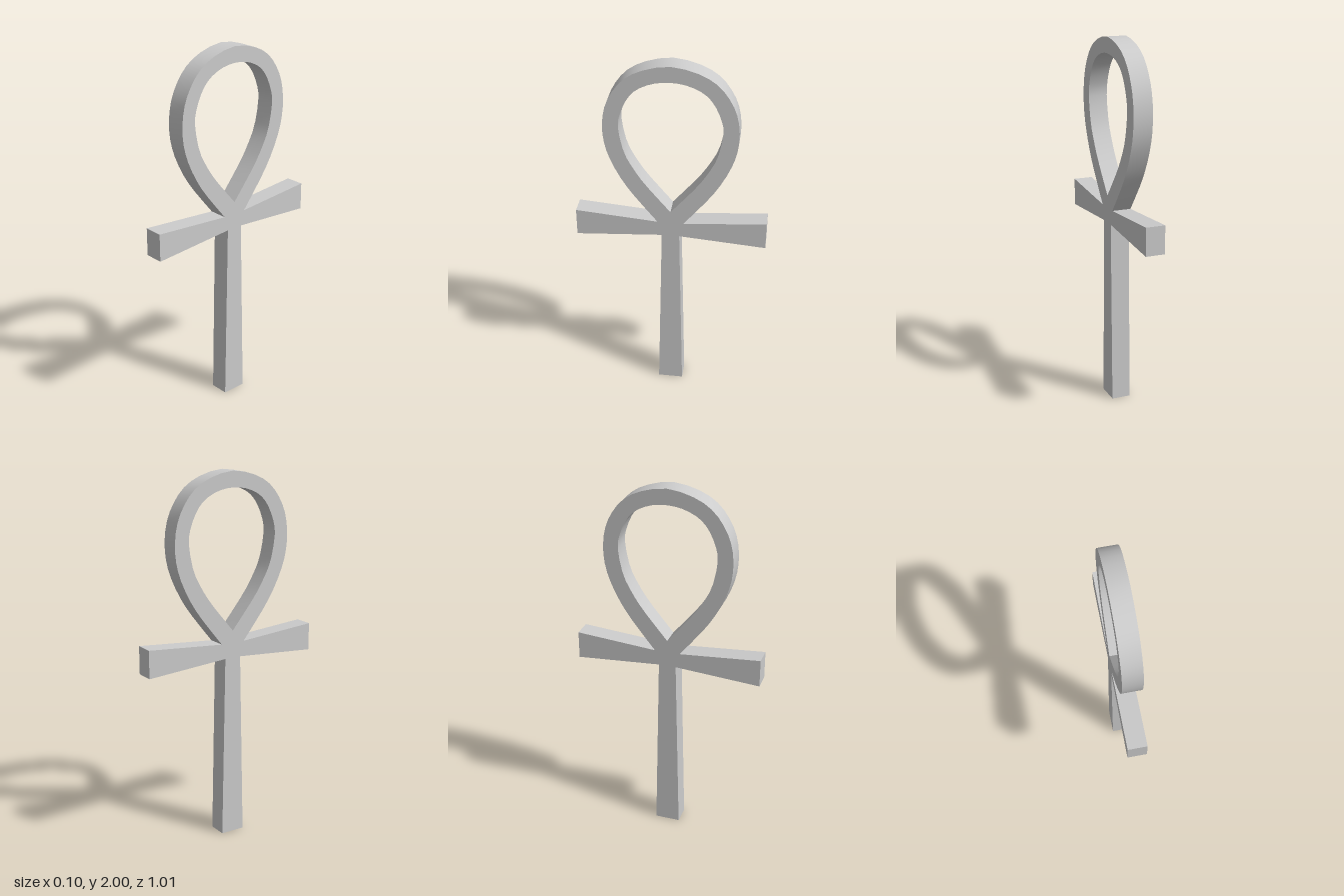
import * as THREE from 'three';
import { toCreasedNormals } from 'three/addons/utils/BufferGeometryUtils.js';

const THICKNESS = 0.104;
const vectors = (pairs) => pairs.map(([s, y]) => new THREE.Vector2(s, y));

// Mirrors one side of the loop (ending at the apex) and samples it as a smooth curve.
function loopCurve(half, segments) {
  const other = half.slice(0, -1).reverse().map(([s, y]) => [-s, y]);
  return new THREE.SplineCurve(vectors([...half, ...other])).getPoints(segments);
}

export function createModel() {
  const group = new THREE.Group();
  group.name = 'loopedCross';

  // Outer and inner edges of the teardrop loop, from the neck up to the apex
  const outerLoop = loopCurve([
    [0.069, 1.095], [0.19, 1.247], [0.26, 1.353], [0.313, 1.464], [0.34, 1.56],
    [0.346, 1.66], [0.33, 1.76], [0.29, 1.846], [0.228, 1.92], [0.135, 1.972], [0, 2],
  ], 40);
  const innerLoop = loopCurve([
    [0, 1.162], [0.127, 1.316], [0.19, 1.41], [0.239, 1.51], [0.265, 1.645],
    [0.255, 1.724], [0.217, 1.81], [0.165, 1.867], [0.085, 1.904], [0, 1.915],
  ], 40);
  innerLoop.pop(); // the curve ends where it starts

  // Flared stem and arms joined to the loop in one outline
  const rightSide = [[0.068, 0], [0.047, 1.012], [0.507, 0.979], [0.507, 1.13]];
  const leftSide = rightSide.map(([s, y]) => [-s, y]).reverse();
  const outline = new THREE.Shape([...vectors(rightSide), ...outerLoop, ...vectors(leftSide)]);
  outline.holes.push(new THREE.Path(innerLoop));

  // Extrude, centre the thickness and turn the outline into the side plane
  const slab = new THREE.ExtrudeGeometry(outline, { depth: THICKNESS, bevelEnabled: false });
  slab.translate(0, 0, -THICKNESS / 2).rotateY(-Math.PI / 2);

  const cross = new THREE.Mesh(
    toCreasedNormals(slab, Math.PI / 6),
    new THREE.MeshStandardMaterial({ color: 0xcccccc }),
  );
  cross.name = 'crossWithLoop';
  group.add(cross);
  return group;
}
